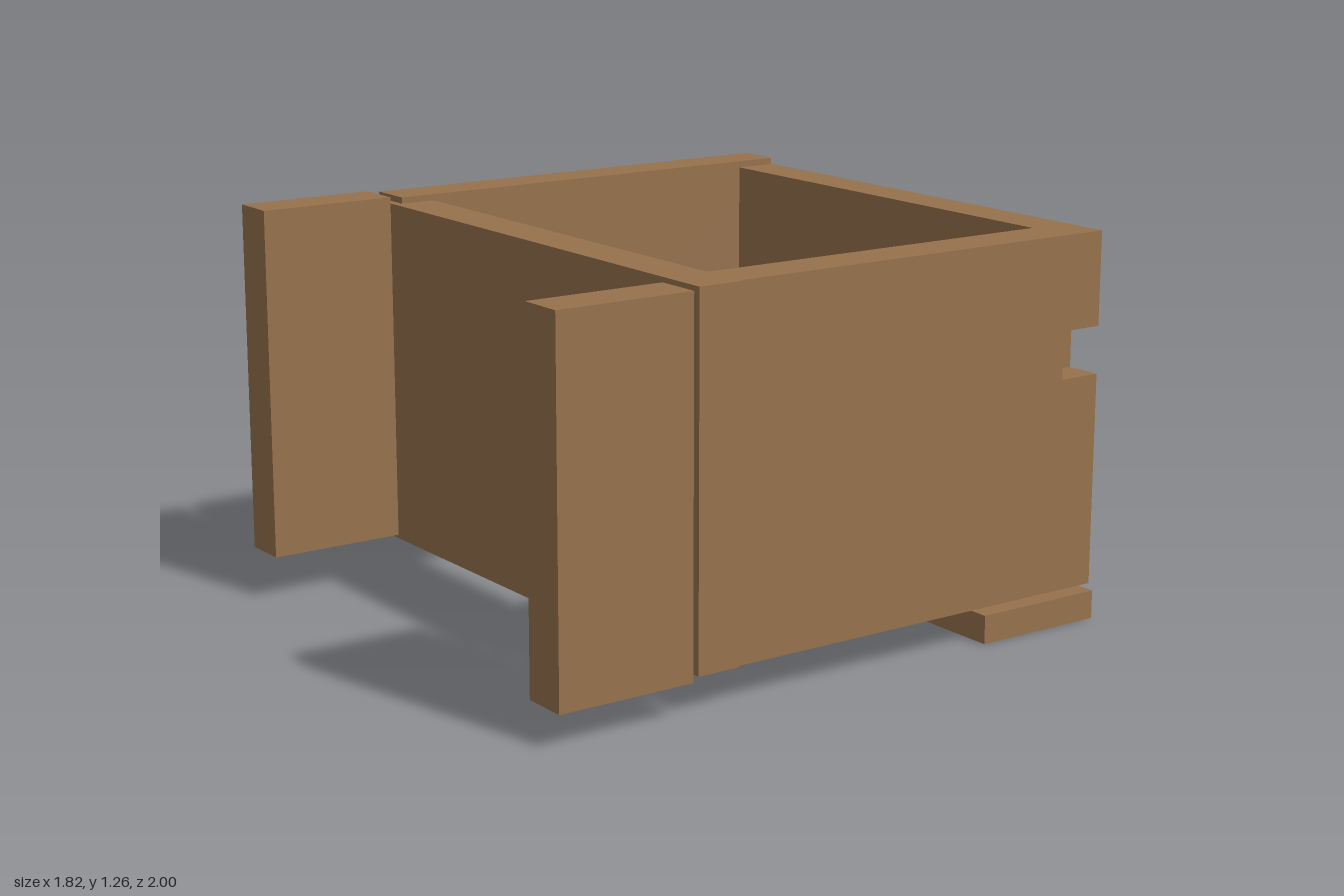
import * as THREE from 'three';

const wood = new THREE.MeshStandardMaterial({ color: 0x96724d });

// Board given by its [min, max] extent along each axis
function board(name, [x0, x1], [y0, y1], [z0, z1]) {
  const mesh = new THREE.Mesh(new THREE.BoxGeometry(x1 - x0, y1 - y0, z1 - z0), wood);
  mesh.position.set((x0 + x1) / 2, (y0 + y1) / 2, (z0 + z1) / 2);
  mesh.name = name;
  return mesh;
}

export function createModel() {
  const model = new THREE.Group();
  model.name = 'woodenFrame';

  const wallY = [0.115, 1.23];
  const notchY = [0.785, 0.935];
  const cornerX = [0.765, 0.882];
  const cornerZ = [-0.988, -0.845];

  // Four walls of the open frame; the right-hand side wall sits a little high
  model.add(
    board('frontWall', [-0.905, 0.892], wallY, [0.378, 0.522]),
    board('rightWall', [-0.912, -0.766], [0.135, 1.25], [-0.99, 0.495]),
    board('backWall', [-0.757, cornerX[0]], wallY, cornerZ),
    board('leftWall', [0.73, cornerX[1]], wallY, [cornerZ[1], 0.378])
  );

  // Back corner, left open between its two halves to form the notch
  model.add(
    board('cornerBelowNotch', cornerX, [wallY[0], notchY[0]], cornerZ),
    board('cornerAboveNotch', cornerX, [notchY[1], wallY[1]], cornerZ)
  );

  // Upright panels standing in front of the frame
  model.add(
    board('rightFrontPanel', [-0.885, -0.737], [0.145, 1.26], [0.553, 1]),
    board('leftFrontPanel', [0.762, 0.91], [0.108, 1.225], [0.553, 1])
  );

  // Flat plank under the back
  model.add(board('basePlank', [-0.905, 0.887], [0, 0.09], [-1, -0.555]));

  return model;
}
